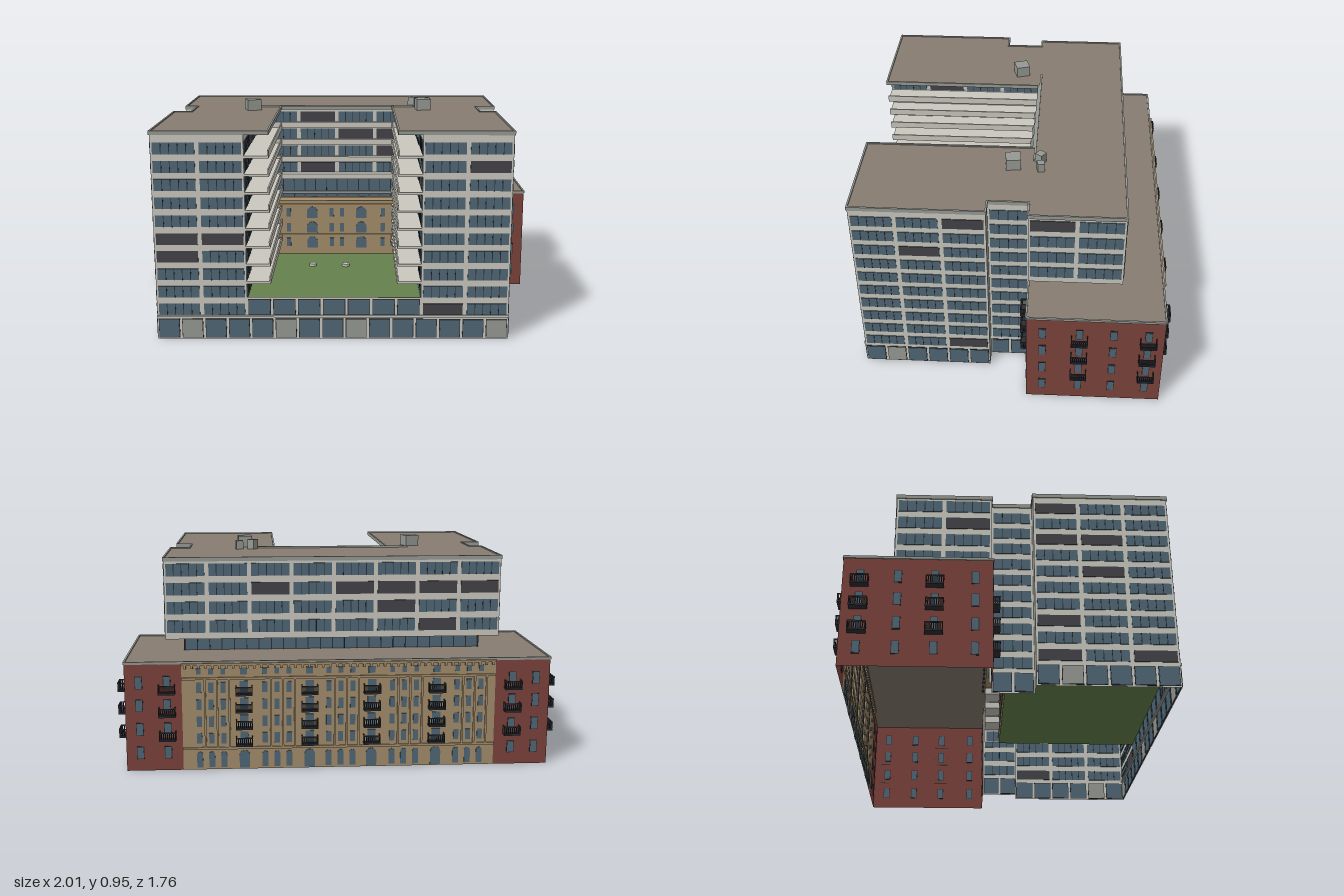
import * as THREE from 'three';
import { mergeGeometries } from 'three/addons/utils/BufferGeometryUtils.js';

const mat = (name, color) => new THREE.MeshStandardMaterial({ name, color, side: THREE.DoubleSide });

export function createModel() {
  const white = mat('pale wall', 0xc9c7be), glass = mat('window glass', 0x4e6674);
  const dark = mat('charcoal panel', 0x434348), red = mat('red brick', 0x7c423b);
  const tan = mat('tan stone', 0xa48d6c), roofMat = mat('brown roof', 0x887c70);
  const green = mat('lawn', 0x65824c), trim = mat('grey trim', 0x969993);
  const metal = mat('black metal', 0x2e2f35);

  const root = new THREE.Group();
  root.name = 'courtyardBuilding';
  root.rotation.y = -16 * Math.PI / 180;

  // A part collects geometry by material and becomes a named group
  function part(name, build) {
    const lists = new Map();
    build((m, g) => {
      if (!lists.has(m)) lists.set(m, []);
      lists.get(m).push(g.index ? g.toNonIndexed() : g);
    });
    const group = new THREE.Group();
    group.name = name;
    for (const [m, list] of lists) {
      const mesh = new THREE.Mesh(mergeGeometries(list), m);
      mesh.name = name + ' ' + m.name;
      group.add(mesh);
    }
    root.add(group);
  }
  const slab = (u0, u1, v0, v1, y0, y1) => new THREE.BoxGeometry(u1 - u0, y1 - y0, v1 - v0)
    .translate((u0 + u1) / 2, (y0 + y1) / 2, (v0 + v1) / 2);

  // A facade runs from a to b, left to right as seen from outside
  function facade(add, a, b) {
    const dx = b[0] - a[0], dz = b[1] - a[1], len = Math.hypot(dx, dz);
    const m = new THREE.Matrix4().makeRotationY(Math.atan2(-dz, dx)).setPosition(a[0], 0, a[1]);
    const place = (material, g) => add(material, g.applyMatrix4(m));
    return {
      len,
      wall: (material, y0, y1, s0 = 0, s1 = len) => place(material,
        new THREE.PlaneGeometry(s1 - s0, y1 - y0).translate((s0 + s1) / 2, (y0 + y1) / 2, 0)),
      box: (material, s, y, w, h, d = 0.006, out = 0) => place(material,
        new THREE.BoxGeometry(w, h, d).translate(s, y, out)),
      arch(s, y, w, h) {
        const sh = new THREE.Shape();
        sh.moveTo(-w / 2, -h / 2); sh.lineTo(w / 2, -h / 2); sh.lineTo(w / 2, h / 2 - w / 2);
        sh.absarc(0, h / 2 - w / 2, w / 2, 0, Math.PI);
        place(glass, new THREE.ExtrudeGeometry(sh, { depth: 0.006, bevelEnabled: false, curveSegments: 6 })
          .translate(s, y, -0.003));
      },
    };
  }

  let seed = 7;
  const rand = () => (seed = (seed * 16807) % 2147483647) / 2147483647;

  // Ribbon windows: wide panes with mullions, some blanked by charcoal panels
  function ribbons(f, cols, rows, y0, pitch, h) {
    const cw = f.len / cols;
    for (let r = 0; r < rows; r++) for (let c = 0; c < cols; c++) {
      const s = (c + 0.5) * cw, y = y0 + r * pitch, w = cw - 0.018;
      const blank = rand() < 0.13;
      f.box(blank ? dark : glass, s, y, w, h);
      const n = Math.max(2, Math.round(w / 0.036));
      if (!blank) for (let k = 1; k < n; k++) f.box(metal, s - w / 2 + k * w / n, y, 0.003, h, 0.009);
    }
  }
  function shopfront(f, cols, y, h, solid = []) {
    const cw = f.len / cols;
    for (let c = 0; c < cols; c++) {
      f.box(metal, (c + 0.5) * cw, y, cw - 0.01, h, 0.004);
      f.box(solid.includes(c) ? trim : glass, (c + 0.5) * cw, y, cw - 0.016, h - 0.006, 0.008);
    }
  }
  const FLOOR = 0.0773, FIRST = 0.134, TOP = 0.89;

  // Both modern wings, with the necks that tie them to the rear block
  const wings = [
    { name: 'leftWing', out: 0.664, neck: 0.592, inn: 0.29, edge: 0.19, sign: 1 },
    { name: 'rightWing', out: -0.835, neck: -0.753, inn: -0.45, edge: -0.35, sign: -1 },
  ];
  for (const w of wings) part(w.name, add => {
    const face = (p, q) => w.sign > 0 ? facade(add, p, q) : facade(add, q, p);
    const front = face([w.inn, 0.717], [w.out, 0.717]);
    front.wall(white, 0.105, TOP);
    ribbons(front, 2, 10, FIRST, FLOOR, 0.05);
    const side = face([w.out, 0.717], [w.out, 0.14]);
    side.wall(white, 0, TOP);
    ribbons(side, 3, 10, FIRST, FLOOR, 0.05);
    shopfront(side, 6, 0.048, 0.085, [1]);
    face([w.out, 0.14], [w.neck, 0.14]).wall(trim, 0, TOP);
    const neck = face([w.neck, 0.14], [w.neck, -0.036]);
    neck.wall(white, 0, TOP);
    ribbons(neck, 1, 10, FIRST, FLOOR, 0.05);
    shopfront(neck, 2, 0.048, 0.085);
    const inner = face([w.inn, -0.036], [w.inn, 0.717]);
    inner.wall(white, 0.18, TOP);
    ribbons(inner, 4, 9, FIRST + FLOOR, FLOOR, 0.054);
    // Courtyard galleries
    const u0 = Math.min(w.inn, w.edge), u1 = Math.max(w.inn, w.edge);
    for (let i = 2; i < 10; i++) {
      const y = FIRST + i * FLOOR - 0.042;
      add(white, slab(u0, u1, -0.036, 0.717, y, y + 0.01));
      add(white, slab(w.edge - 0.003, w.edge + 0.003, -0.036, 0.717, y, y + 0.032));
    }
  });

  // Street front and raised lawn
  part('podium', add => {
    const front = facade(add, [-0.835, 0.717], [0.664, 0.717]);
    front.wall(white, 0, 0.105);
    shopfront(front, 15, 0.048, 0.085, [1, 5, 8, 14]);
    front.box(white, front.len / 2, 0.103, front.len, 0.008, 0.012);
    const upper = facade(add, [-0.45, 0.717], [0.29, 0.717]);
    upper.wall(white, 0.105, 0.187);
    shopfront(upper, 7, 0.143, 0.072);
  });
  part('lawn', add => {
    add(green, slab(-0.45, 0.29, 0.036, 0.714, 0.176, 0.18));
    for (const [u, v] of [[-0.19, 0.235], [-0.035, 0.24]])
      add(white, new THREE.CylinderGeometry(0.018, 0.018, 0.012, 10).translate(u, 0.186, v));
  });

  // Metal balcony with balusters
  function balcony(f, s, y) {
    const w = 0.072, d = 0.034, h = 0.034;
    f.box(metal, s, y, w, 0.007, d, d / 2);
    f.box(metal, s, y + h, w, 0.005, 0.005, d - 0.002);
    for (let k = 0; k <= 8; k++) f.box(metal, s - w / 2 + 0.002 + k * (w - 0.004) / 8, y + h / 2, 0.0045, h, 0.003, d - 0.002);
    for (const e of [-1, 1]) {
      f.box(metal, s + e * (w / 2 - 0.002), y + h, 0.004, 0.005, d, d / 2);
      for (let k = 0; k < 4; k++) f.box(metal, s + e * (w / 2 - 0.002), y + h / 2, 0.003, h, 0.0045, 0.004 + k * 0.008);
    }
  }
  // Brick bays: four rows of windows, with balconies on chosen columns
  const brickRows = [0.08, 0.185, 0.29, 0.39];
  function brick(f, s0, s1, columns, balconies) {
    f.wall(red, 0, 0.475, s0, s1);
    for (const y of brickRows) for (const s of columns) {
      f.box(metal, s, y, 0.032, 0.056, 0.005);
      f.box(glass, s, y, 0.026, 0.05, 0.008);
    }
    for (const y of brickRows.slice(1)) for (const s of balconies) balcony(f, s, y - 0.044);
  }
  const L = -0.993, R = 0.842, B = -0.629, F = -0.036;
  part('brickEnds', add => {
    const cols = [0.07, 0.229, 0.375, 0.524];
    const east = facade(add, [R, F], [R, B]);
    brick(east, 0, east.len, cols, [0.229, 0.524]);
    const west = facade(add, [L, B], [L, F]);
    brick(west, 0, west.len, cols.map(c => west.len - c), [west.len - 0.229, west.len - 0.524]);
    brick(facade(add, [0.592, F], [R, F]), 0, 0.25, [0.067, 0.19], [0.067]);
    brick(facade(add, [L, F], [-0.753, F]), 0, 0.24, [0.05, 0.165], [0.165]);
    const back = facade(add, [R, B], [L, B]);
    brick(back, 0, 0.242, [0.06, 0.179], [0.179]);
    brick(back, 1.597, 1.835, [1.672, 1.775], [1.672]);
  });

  // Stone facade at the rear
  const stoneRows = [0.14, 0.215, 0.29, 0.365];
  part('stoneFacade', add => {
    const f = facade(add, [R, B], [L, B]);
    f.wall(tan, 0, 0.475, 0.242, 1.597);
    for (const [y, d] of [[0.095, 0.012], [0.405, 0.014], [0.468, 0.024]]) f.box(tan, 0.9195, y, 1.355, 0.01, d);
    const bays = [0.507, 0.789, 1.058, 1.34];
    for (const s of bays) {
      f.arch(s, 0.045, 0.045, 0.08);
      for (const y of stoneRows) {
        f.box(glass, s, y, 0.036, 0.056, 0.008);
        balcony(f, s, y - 0.028);
      }
      f.box(glass, s, 0.436, 0.03, 0.03);
    }
    for (const c of [0.366, 0.648, 0.9235, 1.199, 1.481]) for (const e of [-0.052, 0, 0.052]) {
      f.arch(c + e, 0.045, 0.026, 0.07);
      for (const y of stoneRows) f.box(glass, c + e, y, 0.022, 0.046);
      f.box(glass, c + e, 0.436, 0.02, 0.026);
      f.box(tan, c + e + 0.026, 0.25, 0.008, 0.3, 0.012);
    }
    for (let k = 0; k < 46; k++) f.box(tan, 0.257 + k * 0.0295, 0.456, 0.01, 0.014, 0.018);
  });
  // Stone wall at the head of the courtyard
  part('courtyardStoneWall', add => {
    const f = facade(add, [-0.45, 0.036], [0.29, 0.036]);
    f.wall(tan, 0.18, 0.45);
    for (const y of [0.43, 0.446]) f.box(tan, f.len / 2, y, f.len, 0.008, 0.014);
    for (const y of [0.24, 0.315, 0.39]) {
      for (const s of [0.25, 0.49]) f.arch(s, y, 0.052, 0.056);
      for (const c of [0.11, 0.37, 0.62]) for (const e of [-0.025, 0.025]) f.box(glass, c + e, y, 0.02, 0.042);
      f.box(tan, f.len / 2, y - 0.036, f.len, 0.005, 0.01);
    }
    add(tan, slab(-0.45, 0.29, F, 0.036, 0.445, 0.45));
  });
  part('lowerRoof', add => {
    add(roofMat, slab(L, R, B, F, 0.468, 0.476));
    for (const v of [B, F]) add(trim, slab(L, R, v - 0.004, v + 0.004, 0.47, 0.481));
    for (const u of [L, R]) add(trim, slab(u - 0.004, u + 0.004, B, F, 0.47, 0.481));
  });

  // Recessed glazed storey
  part('glazedStorey', add => {
    const p = [[-0.73, F], [-0.73, -0.37], [0.6, -0.37], [0.6, F]];
    for (let i = 0; i < 3; i++) {
      const f = facade(add, p[i + 1], p[i]);
      f.wall(glass, 0.475, 0.542);
      const n = Math.round(f.len / 0.055);
      for (let k = 0; k <= n; k++) f.box(metal, k * f.len / n, 0.508, 0.004, 0.066, 0.008);
    }
    const f = facade(add, [-0.45, -0.045], [0.29, -0.045]);
    f.wall(glass, 0.45, 0.545);
    for (let k = 0; k <= 14; k++) f.box(metal, k * f.len / 14, 0.5, 0.004, 0.09, 0.008);
  });

  // Upper bar floating above the old block
  part('upperBar', add => {
    const l = -0.808, r = 0.68, b = -0.445, pitch = 0.0838;
    const back = facade(add, [r, b], [l, b]), east = facade(add, [r, F], [r, b]);
    const west = facade(add, [l, b], [l, F]), court = facade(add, [-0.45, -0.045], [0.29, -0.045]);
    for (const [f, cols] of [[back, 8], [east, 2], [west, 2], [court, 4]]) {
      f.wall(white, 0.54, TOP);
      ribbons(f, cols, 4, 0.596, pitch, 0.055);
    }
    facade(add, [0.592, F], [r, F]).wall(white, 0.54, TOP);
    facade(add, [l, F], [-0.753, F]).wall(white, 0.54, TOP);
    add(white, slab(l, r, b, F, 0.54, 0.548));
    // Courtyard terraces, deeper toward the bottom
    for (let i = 0; i < 4; i++) {
      const y = 0.548 + i * pitch;
      add(white, slab(-0.35, 0.19, -0.045, 0.003 - i * 0.01, y, y + 0.026));
    }
  });

  // Main roof with its edge trim
  part('mainRoof', add => {
    const p = [[-0.808, -0.445], [0.68, -0.445], [0.68, F], [0.592, F], [0.592, 0.14], [0.664, 0.14], [0.664, 0.717],
      [0.19, 0.717], [0.19, F], [-0.35, F], [-0.35, 0.717], [-0.835, 0.717], [-0.835, 0.14], [-0.753, 0.14], [-0.753, F], [-0.808, F]];
    const shape = new THREE.Shape(p.map(q => new THREE.Vector2(...q)));
    add(roofMat, new THREE.ExtrudeGeometry(shape, { depth: 0.012, bevelEnabled: false }).rotateX(Math.PI / 2).translate(0, 0.898, 0));
    p.forEach((a, i) => {
      const f = facade(add, a, p[(i + 1) % p.length]);
      f.box(trim, f.len / 2, 0.894, f.len + 0.006, 0.018, 0.008);
    });
    add(trim, slab(-0.45, 0.29, -0.05, -0.04, 0.89, 0.906));
  });
  part('roofUnits', add => {
    for (const [x, z, w, h, a] of [[-0.47, -0.08, 0.066, 0.05, 0.3], [0.305, 0.135, 0.066, 0.052, 0.1], [0.3, 0.01, 0.036, 0.045, 0.9], [0.362, 0.025, 0.032, 0.04, 0.2]]) {
      const g = new THREE.BoxGeometry(w, h, w).rotateY(a);
      add(trim, g.translate(x * 0.9613 + z * 0.2756, 0.898 + h / 2, -x * 0.2756 + z * 0.9613));
    }
  });

  const model = new THREE.Group();
  model.name = 'apartmentBlock';
  model.add(root);
  return model;
}
